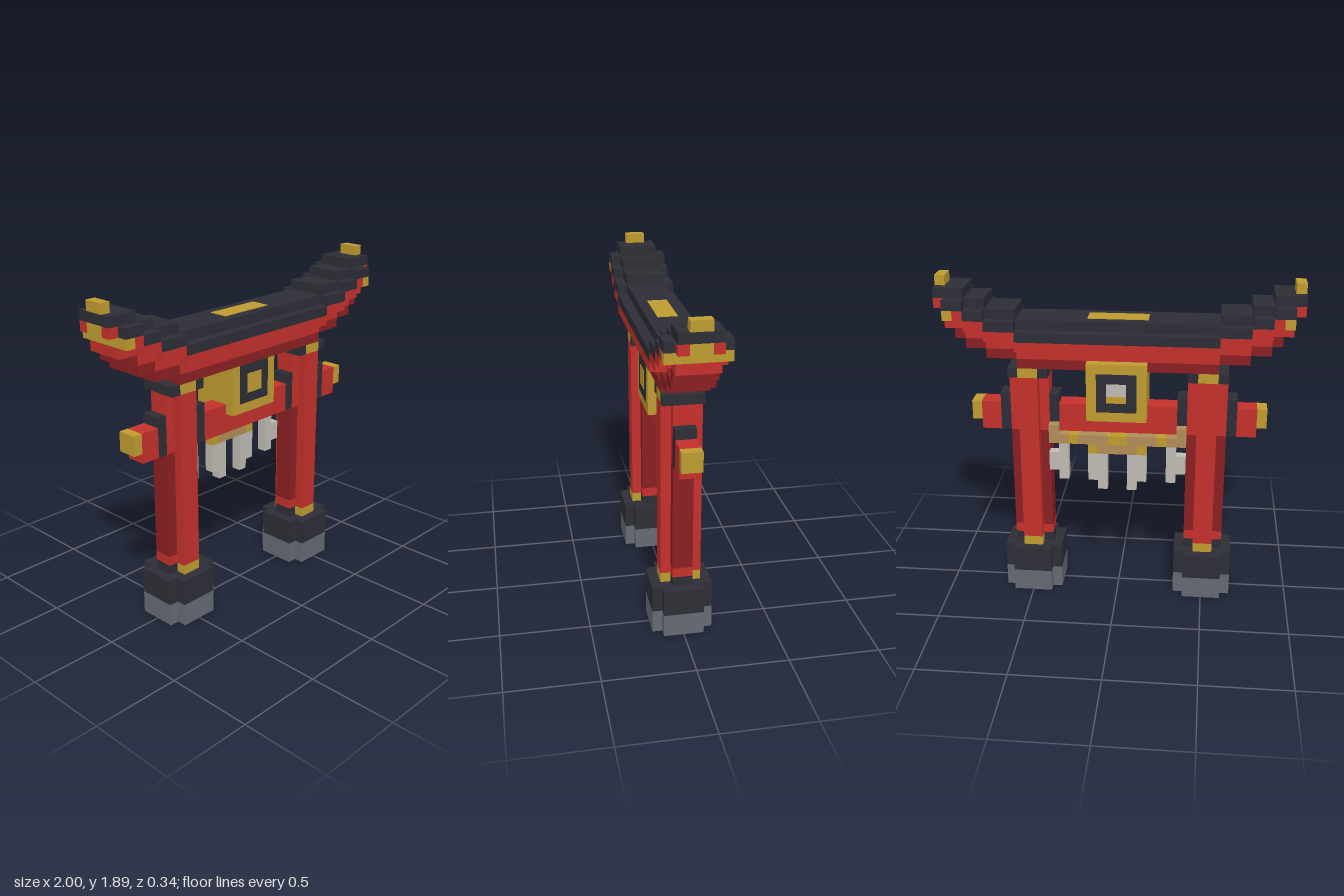
import * as THREE from 'three';

const U = 1 / 18; // one block

const flat = (name, color) => {
  const m = new THREE.MeshStandardMaterial({ color });
  m.name = name;
  return m;
};

export function createModel() {
  const red = flat('vermilion', 0xc4302b);
  const darkRed = flat('deep red', 0x8a2022);
  const black = flat('charcoal', 0x2d2e36);
  const gold = flat('gold', 0xbf9b30);
  const tan = flat('straw', 0xb08d57);
  const slate = flat('slate', 0x646973);
  const paper = flat('paper', 0xbfbbb3);
  const model = new THREE.Group();
  model.name = 'shrineGate';

  // A box given by its limits in blocks
  const box = (name, mat, x0, x1, y0, y1, z0, z1) => {
    const g = new THREE.BoxGeometry((x1 - x0) * U, (y1 - y0) * U, (z1 - z0) * U);
    g.translate((x0 + x1) * U / 2, (y0 + y1) * U / 2, (z0 + z1) * U / 2);
    const mesh = new THREE.Mesh(g, mat);
    mesh.name = name;
    model.add(mesh);
  };
  // The same box on both sides
  const pair = (name, mat, x0, x1, ...rest) => {
    box(name + 'Left', mat, x0, x1, ...rest);
    box(name + 'Right', mat, -x1, -x0, ...rest);
  };
  // A plus-shaped column of half width r with notched corners, around x = 9
  const plus = (name, matZ, matX, r, y0, y1) => {
    const i = r - 1;
    pair(name + 'Core', matZ, 9 - i, 9 + i, y0, y1, -r, r);
    pair(name + 'Outer', matX, 9 + i, 9 + r, y0, y1, -i, i);
    pair(name + 'Inner', matX, 9 - r, 9 - i, y0, y1, -i, i);
  };

  // Stone feet
  plus('footStone', slate, slate, 3, 0, 2.34);
  plus('footCollar', black, black, 3, 2.34, 5);

  // Pillars
  plus('pillarRing', gold, black, 2, 5, 6);
  plus('pillarBottom', red, red, 2, 6, 7);
  plus('pillarShaft', red, darkRed, 2, 7, 18);
  plus('pillarTop', red, red, 2, 18, 24);
  pair('capitalGold', gold, 8, 10, 24, 25, -2, 2);
  pair('capitalOuter', black, 10, 11, 24, 25, -2, 2);
  pair('capitalInner', black, 7, 8, 24, 25, -2, 2);

  // Cross beam with collars and gold ends
  box('crossBeam', red, -7, 7, 18, 21, -1, 1);
  pair('beamEnd', red, 11, 14, 18, 21, -1, 1);
  pair('beamTip', gold, 14, 15, 19, 21, -1, 1);
  pair('collarOuter', black, 11, 12, 18, 22, -1.03, 1.03);
  pair('collarInner', black, 6, 7, 18, 22, -1.03, 1.03);

  // Stepped roof: each segment is a stack of five layers, raised toward the ends
  const layers = [[darkRed, 2], [red, 2], [red, 3], [black, 3], [black, 2]];
  layers.forEach(([mat, d], i) => {
    box('roofMiddle', mat, -10, 10, 25 + i, 26 + i, -d, d);
    pair('roofStepA', mat, 10, 13, 26 + i, 27 + i, -d, d);
    pair('roofStepB', mat, 13, 15, 27 + i, 28 + i, -d, d);
    pair('roofStepC', mat, 15, i === 0 || i === 2 ? 16 : 17, 28 + i, 29 + i, -d, d);
  });
  pair('eaveGold', gold, 16, 17, 30, 31, -3, 3);
  pair('roofTipRed', red, 17, 18, 31, 32, -2, 2);
  pair('roofTipStud', gold, 18, 18.02, 31, 32, -1, 1);
  pair('roofTip', black, 17, 18, 32, 33, -2, 2);
  pair('finial', gold, 17, 18, 33, 34, -1, 1);
  box('ridgePlate', gold, -3, 3, 30, 30.06, -1, 1);

  // Name board box with framed faces
  box('boardBox', gold, -3, 3, 20, 25, -2, 2);
  box('boardBack', gold, -3, 3, 20, 26, -3, -2);
  box('frontFrame', black, -2, 2, 21, 25, 2, 2.05);
  box('frontPanel', gold, -1, 1, 22, 24, 2.05, 2.1);
  box('backFrame', black, -2, 2, 21, 25, -3.05, -3);
  box('backPanel', paper, -1, 1, 22.7, 24, -3.1, -3.05);
  box('backPanelBase', gold, -1, 1, 22, 22.7, -3.1, -3.05);

  // Straw rope behind the beam
  pair('ropeEnd', tan, 6, 7, 18, 19, -2, -1);
  pair('ropeOuter', tan, 5, 7, 17, 18, -2, -1);
  pair('ropeBand', gold, 4, 5, 17, 18, -2, -1);
  pair('ropeInner', tan, 1, 4, 17, 18, -2, -1);
  box('ropeCentre', gold, -1, 1, 17, 18, -2, -1);
  pair('ropeSagBand', gold, 2, 3, 16, 17, -2, -1);
  box('ropeSag', tan, -2, 2, 16, 17, -2, -1);

  // Folded paper streamers
  pair('outerStreamer', paper, 5, 6, 13, 17, -2, -1);
  pair('outerStreamerFold', paper, 6, 7, 14, 16, -2, -1);
  pair('innerStreamer', paper, 1, 2, 12, 15, -2, -1);
  pair('innerStreamerTop', paper, 2, 3, 14, 16, -2, -1);
  pair('innerStreamerJoin', paper, 1, 2, 15, 16, -2, -1);
  pair('innerStreamerFold', paper, 2, 3, 13, 14, -2, -1);

  return model;
}
